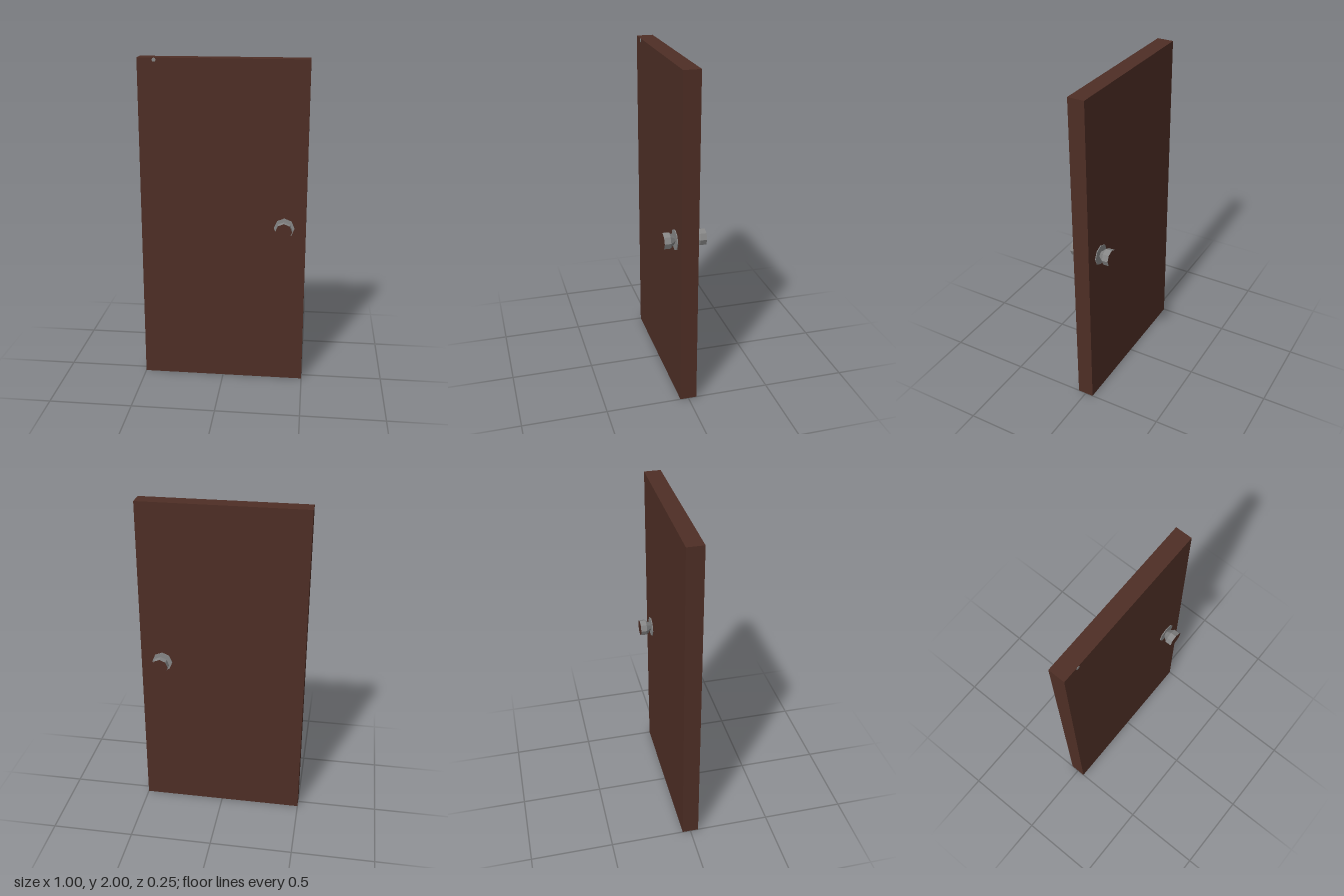
import * as THREE from 'three';

export function createModel() {
  const wood = new THREE.MeshStandardMaterial({ color: 0x4e2e25 });
  wood.name = 'dark brown wood';
  const metal = new THREE.MeshStandardMaterial({ color: 0x868686 });
  metal.name = 'grey metal';

  const door = new THREE.Group();
  door.name = 'door';
  const add = (parent, name, geometry, material, x, y, z) => {
    const mesh = new THREE.Mesh(geometry, material);
    mesh.name = name;
    mesh.position.set(x, y, z);
    parent.add(mesh);
  };

  // Eight-sided facets along z, with corners on the x and y axes
  const octagon = (frontRadius, backRadius, depth, open = false) =>
    new THREE.CylinderGeometry(frontRadius, backRadius, depth, 8, 1, open)
      .rotateX(Math.PI / 2)
      .toNonIndexed();
  const faceted = (geometry) => {
    geometry.computeVertexNormals();
    return geometry;
  };

  // Door leaf
  add(door, 'doorLeaf', new THREE.BoxGeometry(1, 2, 0.1), wood, 0, 1, 0);

  // Handle: rose plate, flared neck, grip and wooden end cap on each face
  for (const side of ['front', 'back']) {
    const handle = new THREE.Group();
    handle.name = side + 'Handle';
    handle.position.set(0.37, 1, 0);
    if (side === 'back') handle.rotation.y = Math.PI;
    add(handle, 'rosePlate', faceted(octagon(0.062, 0.062, 0.006)), metal, 0, 0, 0.052);
    add(handle, 'flaredNeck', faceted(octagon(0.05, 0.02, 0.033, true)), metal, 0, 0, 0.0705);
    add(handle, 'knobGrip', faceted(octagon(0.05, 0.05, 0.038, true)), metal, 0, 0, 0.106);
    add(handle, 'knobEndCap', new THREE.CircleGeometry(0.05, 8), wood, 0, 0, 0.125);
    door.add(handle);
  }

  // Small metal stud by the top edge
  add(door, 'topStud', faceted(octagon(0.012, 0.012, 0.004)), metal, -0.4, 1.988, 0.05);

  return door;
}
